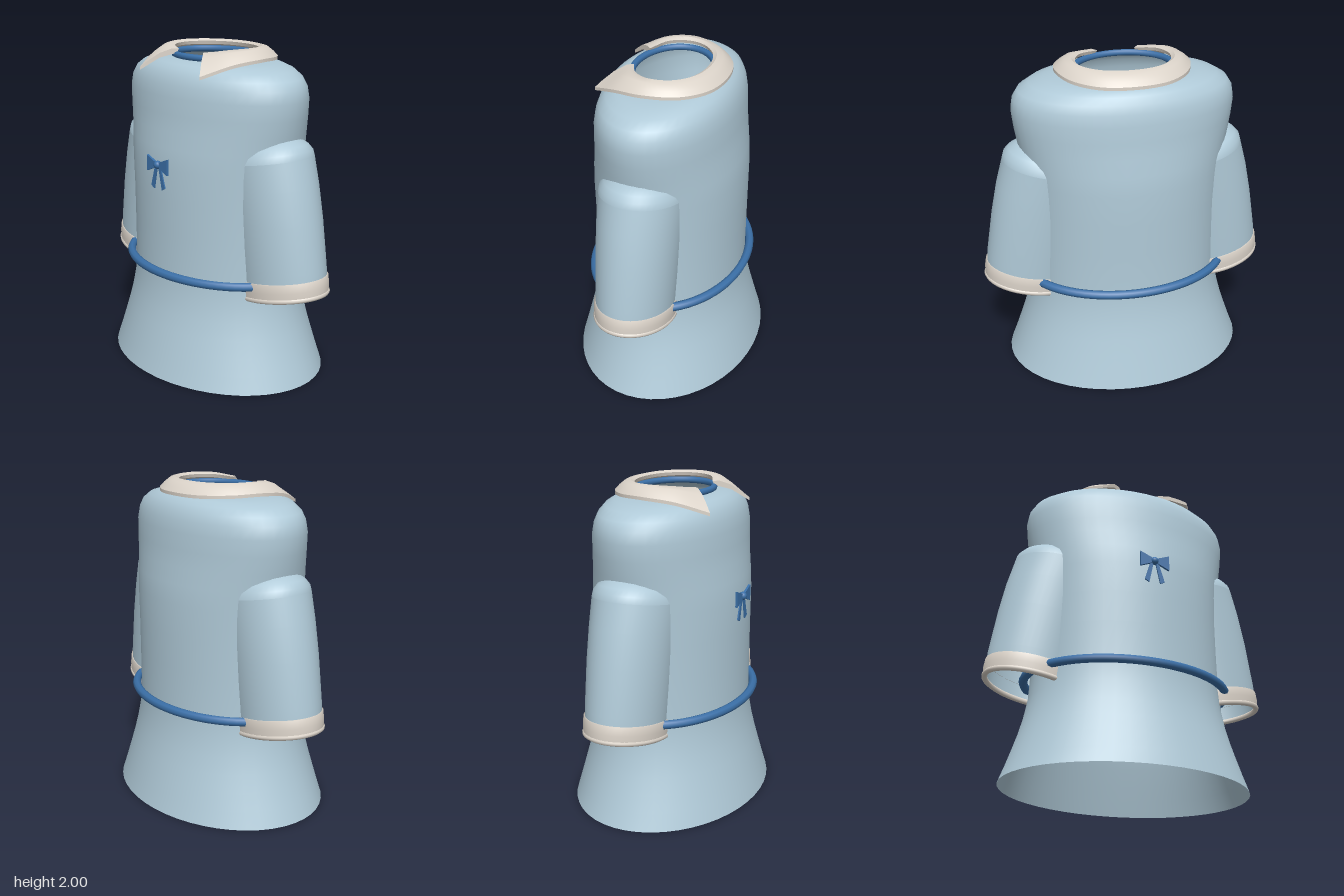
import * as THREE from 'three';
import { toCreasedNormals } from 'three/addons/utils/BufferGeometryUtils.js';

const mat = (name, color) => {
  const m = new THREE.MeshStandardMaterial({ color, side: THREE.DoubleSide });
  m.name = name;
  return m;
};

// Build an indexed surface from rows of points; closed rows wrap around.
function skin(rows) {
  const n = rows[0].length, index = [];
  for (let j = 0; j < rows.length - 1; j++) {
    for (let i = 0; i < n; i++) {
      const a = j * n + i, b = j * n + (i + 1) % n;
      index.push(a, a + n, b, b, a + n, b + n);
    }
  }
  const g = new THREE.BufferGeometry();
  g.setAttribute('position', new THREE.Float32BufferAttribute(rows.flat(2), 3));
  g.setIndex(index);
  g.computeVertexNormals();
  return g;
}

// Elliptical ring; tilt raises the +x side.
const ring = (cx, y, rx, rz, tilt = 0, n = 48) => Array.from({ length: n }, (_, i) => {
  const a = (i / n) * Math.PI * 2, dx = rx * Math.cos(a);
  return [cx + dx, y + tilt * dx, rz * Math.sin(a)];
});

// Round cord following an elliptical ring.
function cord(points, radius, sides = 8) {
  const path = new THREE.CatmullRomCurve3(points.map(p => new THREE.Vector3(...p)), true);
  return new THREE.TubeGeometry(path, 72, radius, sides, true);
}

export function createModel() {
  const group = new THREE.Group();
  const cloth = mat('pale blue cloth', 0xb0cad8);
  const blue = mat('blue trim', 0x3b70a8);
  const cream = mat('cream trim', 0xdcd4ca);

  const add = (name, geometry, material, parent = group) => {
    const mesh = new THREE.Mesh(geometry, material);
    mesh.name = name;
    parent.add(mesh);
    return mesh;
  };

  // Dress body: y, half width, half depth
  const profile = [
    [0, 0.768, 0.585], [0.1, 0.73, 0.558], [0.2, 0.695, 0.532], [0.3, 0.662, 0.506],
    [0.4, 0.635, 0.482], [0.52, 0.612, 0.46], [0.65, 0.605, 0.45], [0.9, 0.605, 0.45],
    [1.1, 0.607, 0.45], [1.3, 0.618, 0.449], [1.42, 0.632, 0.438], [1.52, 0.65, 0.422],
    [1.62, 0.666, 0.412], [1.72, 0.676, 0.405], [1.79, 0.664, 0.392], [1.84, 0.632, 0.374],
    [1.88, 0.565, 0.348], [1.903, 0.48, 0.315], [1.915, 0.4, 0.285], [1.92, 0.3, 0.238],
  ];
  add('dressBody', skin(profile.map(([y, rx, rz]) => ring(0, y, rx, rz))), cloth);

  // Sleeves with domed tops and turned cuffs
  for (const s of [1, -1]) {
    const sleeve = new THREE.Group();
    sleeve.name = s > 0 ? 'leftSleeve' : 'rightSleeve';
    group.add(sleeve);
    const loop = (cx, y, rx, rz, tilt = 0.17) => ring(s * cx, y, rx, rz, s * tilt);
    add('sleeveTube', skin([
      loop(0.591, 0.58, 0.298, 0.228), loop(0.578, 0.72, 0.3, 0.234),
      loop(0.532, 1.0, 0.3, 0.244), loop(0.488, 1.2, 0.302, 0.25),
      loop(0.443, 1.36, 0.303, 0.256),
    ]), cloth, sleeve);
    const dome = [];
    for (let k = 0; k <= 6; k++) {
      const a = (k / 6) * Math.PI / 2, c = Math.max(Math.cos(a), 0.001);
      dome.push(loop(0.443, 1.36 + 0.15 * Math.sin(a), 0.303 * c, 0.256 * c));
    }
    add('sleeveCap', skin(dome), cloth, sleeve);
    add('cuff', skin([
      loop(0.593, 0.57, 0.306, 0.238), loop(0.59, 0.62, 0.309, 0.241),
      loop(0.583, 0.672, 0.307, 0.241), loop(0.582, 0.674, 0.298, 0.23),
    ]), cream, sleeve);
    add('cuffRim', cord(loop(0.593, 0.573, 0.296, 0.228), 0.017), cream, sleeve);
  }

  // Belt and neck band
  add('belt', cord(ring(0, 0.645, 0.645, 0.477, 0, 32), 0.027), blue);
  add('neckBand', cord(ring(0, 1.937, 0.292, 0.228, 0, 32), 0.02), blue);

  // Collar: inner and outer edges from the back round to the pointed front tip
  const inner = [[0, 1.985, -0.215], [0.16, 1.985, -0.182], [0.26, 1.985, -0.09],
    [0.283, 1.985, 0.02], [0.235, 1.983, 0.13], [0.115, 1.972, 0.2]];
  const outer = [[0, 1.93, -0.335], [0.2, 1.93, -0.295], [0.345, 1.935, -0.17],
    [0.408, 1.94, 0.02], [0.37, 1.92, 0.2], [0.275, 1.86, 0.375]];
  const curve = half => new THREE.CatmullRomCurve3([
    ...half.slice(1).reverse().map(([x, y, z]) => [-x, y, z]), ...half,
  ].map(p => new THREE.Vector3(...p)));
  const innerCurve = curve(inner), outerCurve = curve(outer);
  const collarRows = [];
  for (let k = 0; k <= 60; k++) {
    const a = innerCurve.getPoint(k / 60), b = outerCurve.getPoint(k / 60);
    const at = (t, lift) => {
      const p = a.clone().lerp(b, t);
      return [p.x, p.y + lift, p.z];
    };
    collarRows.push([at(0, 0), at(0.18, 0.022), at(0.5, 0.03), at(0.8, 0.018), at(1, 0.004),
      at(1, -0.015), at(0.5, 0.002), at(0.05, -0.018)]);
  }
  // collapse both ends to close the collar
  const close = row => {
    const mid = [0, 1, 2].map(i => row.reduce((sum, p) => sum + p[i], 0) / row.length);
    return row.map(() => mid);
  };
  collarRows.unshift(close(collarRows[0]));
  collarRows.push(close(collarRows[collarRows.length - 1]));
  add('collar', toCreasedNormals(skin(collarRows), 0.7), cream);

  // Bow on the chest
  const bow = new THREE.Group();
  bow.name = 'bow';
  bow.position.set(0, 1.32, 0.462);
  group.add(bow);
  const plate = (points, depth) => new THREE.ExtrudeGeometry(
    new THREE.Shape(points.map(p => new THREE.Vector2(...p))), { depth, bevelEnabled: false });
  for (const s of [1, -1]) {
    const flip = pts => pts.map(([x, y]) => [s * x, y]);
    add('bowLoop', plate(flip([[0.01, -0.014], [0.094, -0.05], [0.094, 0.048], [0.01, 0.014]]), 0.014), blue, bow);
    add('bowTail', plate(flip([[0.008, -0.02], [0.036, -0.15], [0.064, -0.135], [0.026, -0.012]]), 0.008), blue, bow);
  }
  add('bowKnot', new THREE.SphereGeometry(0.025, 16, 12), blue, bow).position.z = 0.006;

  // Small stars on the inside of the skirt front
  const starPoints = Array.from({ length: 12 }, (_, i) => {
    const a = (i / 12) * Math.PI * 2, r = i % 2 ? 0.018 : 0.042;
    return [r * Math.sin(a), r * Math.cos(a)];
  });
  for (const degrees of [55, 85, 115]) {
    const a = degrees * Math.PI / 180;
    const star = add('liningStar', plate(starPoints, 0.006), cream);
    star.position.set(-0.65 * Math.cos(a), 0.25, 0.495 * Math.sin(a));
    star.rotation.order = 'YXZ';
    star.rotation.set(-0.25, Math.atan2(-Math.cos(a) / 0.65, Math.sin(a) / 0.495), 0);
  }
  return group;
}
